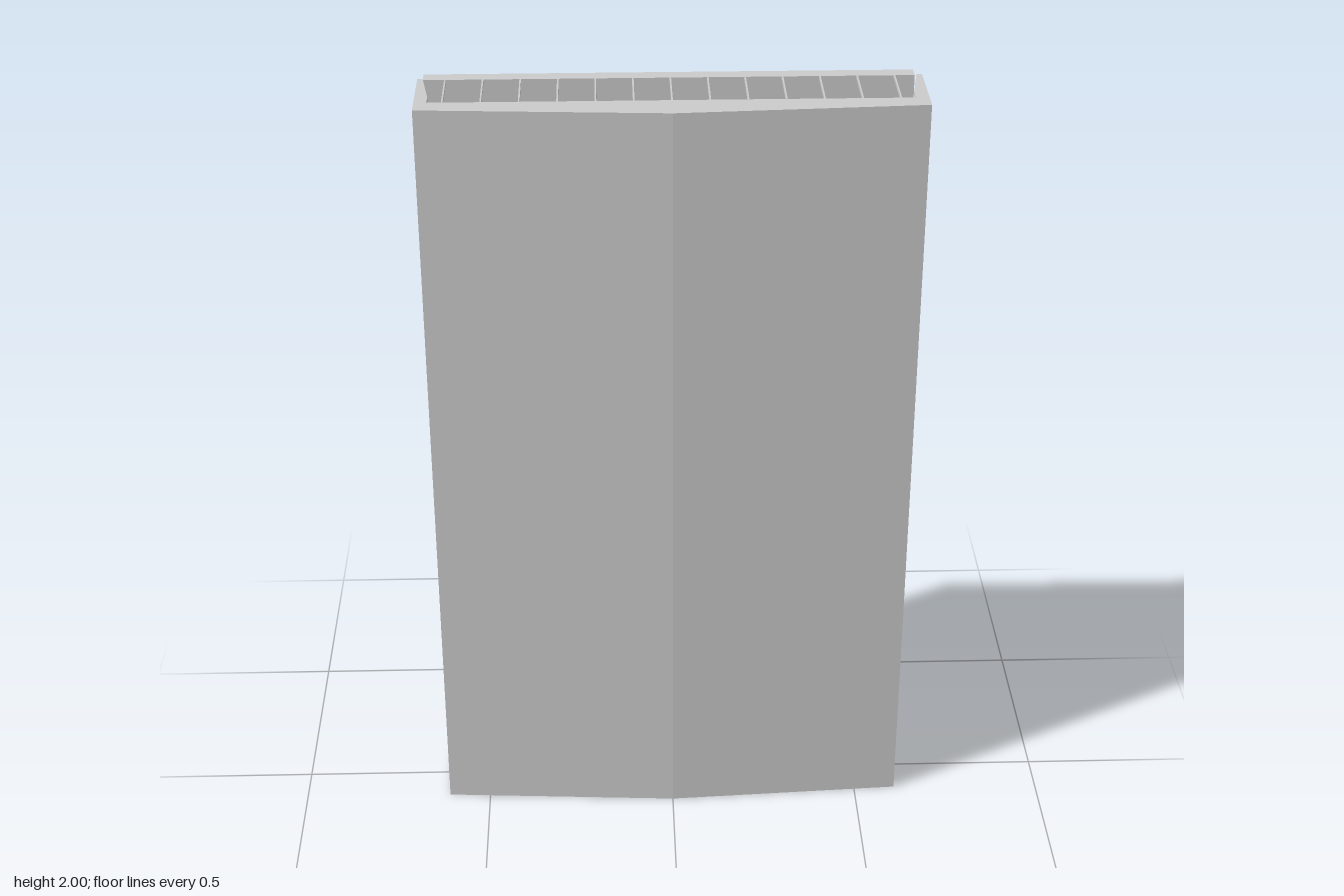
import * as THREE from 'three';

const material = new THREE.MeshStandardMaterial({ color: 0xcccccc, flatShading: true, side: THREE.DoubleSide });

function add(group, name, geometry, x = 0, y = 0, z = 0) {
  const mesh = new THREE.Mesh(geometry, material);
  mesh.name = name;
  mesh.position.set(x, y, z);
  group.add(mesh);
  return mesh;
}

// Upright prism from a plan outline of [x, z] points
function prism(points, height) {
  const shape = new THREE.Shape(points.map(([x, z]) => new THREE.Vector2(x, -z)));
  return new THREE.ExtrudeGeometry(shape, { depth: height, bevelEnabled: false }).rotateX(-Math.PI / 2);
}

// Box given by its limits
function boxBetween(group, name, x0, x1, y0, y1, z0, z1) {
  add(group, name, new THREE.BoxGeometry(x1 - x0, y1 - y0, z1 - z0), (x0 + x1) / 2, (y0 + y1) / 2, (z0 + z1) / 2);
}

export function createModel() {
  const model = new THREE.Group();
  const halfWidth = 0.61, backZ = -0.102, sideZ = 0.102, ridgeZ = 0.138;
  const floorHeight = 0.008, floors = 17;

  // Thin front skin, folded along its centre line
  add(model, 'frontSkin', prism([
    [-halfWidth, sideZ], [0, ridgeZ], [halfWidth, sideZ],
    [halfWidth, sideZ - 0.003], [0, ridgeZ - 0.003], [-halfWidth, sideZ - 0.003],
  ], 2));

  // Back wall
  boxBetween(model, 'backWall', -0.597, 0.593, 0.008, 1.997, -0.14, backZ);

  // U-shaped floor edges tied back to the wall by slim ribs
  const edge = prism([
    [-halfWidth, backZ], [-halfWidth, sideZ - 0.001], [0, ridgeZ - 0.001], [halfWidth, sideZ - 0.001],
    [halfWidth, backZ], [0.597, backZ], [0.577, 0.02], [0.577, 0.054],
    [-0.579, 0.054], [-0.579, 0.02], [-0.597, backZ],
  ], floorHeight);
  const ribLength = 0.054 - backZ;
  const rib = new THREE.BoxGeometry(0.004, floorHeight, ribLength);
  for (let i = 0; i < floors; i++) {
    const level = new THREE.Group();
    level.name = 'floorFrame' + (i + 1);
    level.position.y = i * (2 - floorHeight) / (floors - 1);
    add(level, 'floorEdge', edge);
    for (let j = -6; j <= 6; j++) {
      add(level, 'rib', rib, j * 0.0905, floorHeight / 2, backZ + ribLength / 2);
    }
    model.add(level);
  }

  // Tall wedge in the left rear corner
  const wedge = add(model, 'cornerWedge', prism([[0.45, backZ], [0.577, 0.02], [0.593, backZ]], 1.635));
  wedge.position.y = 0.26;

  // Shallow projections on the inner face of the back wall
  boxBetween(model, 'deepBay', -0.515, -0.395, 0.26, 1.89, backZ, -0.03);
  boxBetween(model, 'shallowBay', -0.375, -0.26, 0.26, 1.89, backZ, -0.07);
  boxBetween(model, 'shallowBay', 0.29, 0.415, 0.26, 1.89, backZ, -0.07);
  const swell = add(model, 'wallSwell', prism([[-0.5, backZ], [-0.25, -0.088], [0, -0.098], [0, backZ]], 0.03));
  swell.position.y = 1.895;

  return model;
}
